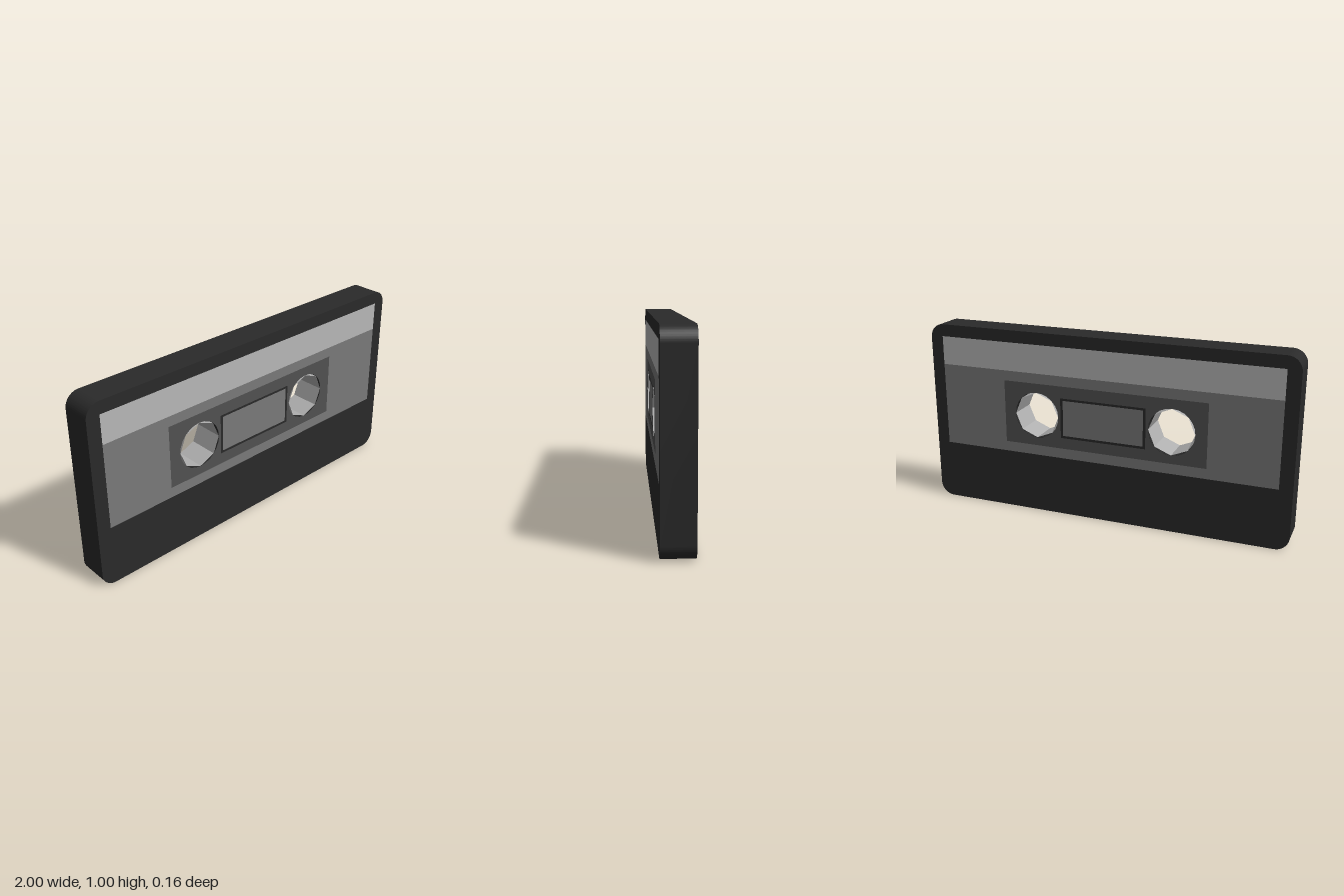
import * as THREE from 'three';
import { toCreasedNormals } from 'three/addons/utils/BufferGeometryUtils.js';

const REEL_X = 0.375, REEL_Y = 0.55, REEL_R = 0.125;
const BODY_Z = 0.0785, FACE_Z = 0.08;

const paint = (color, extra = {}) => {
  const material = new THREE.MeshStandardMaterial(extra);
  material.color.set(color);
  return material;
};

function part(name, geometry, material) {
  const mesh = new THREE.Mesh(geometry, material);
  mesh.name = name;
  return mesh;
}

// Rectangle from corner to corner, as a shape or as a hole
function rect(x0, y0, x1, y1, Type = THREE.Shape) {
  return new Type([[x0, y0], [x1, y0], [x1, y1], [x0, y1]].map(([x, y]) => new THREE.Vector2(x, y)));
}

function roundedRect(x0, y0, x1, y1, r) {
  const s = new THREE.Shape();
  s.absarc(x1 - r, y0 + r, r, -Math.PI / 2, 0);
  s.absarc(x1 - r, y1 - r, r, 0, Math.PI / 2);
  s.absarc(x0 + r, y1 - r, r, Math.PI / 2, Math.PI);
  s.absarc(x0 + r, y0 + r, r, Math.PI, Math.PI * 1.5);
  s.closePath();
  return s;
}

function addReelHoles(shape) {
  for (const side of [-1, 1]) {
    shape.holes.push(new THREE.Path().absarc(side * REEL_X, REEL_Y, REEL_R, 0, Math.PI * 2, true));
  }
  return shape;
}

// Flat printed areas of one face, fitted into each other
function createFace(name) {
  const face = new THREE.Group();
  face.name = name;
  const label = rect(-0.93, 0.325, 0.93, 0.78);
  label.holes.push(rect(-0.563, 0.38, 0.563, 0.725, THREE.Path));
  const panel = addReelHoles(rect(-0.563, 0.38, 0.563, 0.725));
  panel.holes.push(rect(-0.237, 0.44, 0.237, 0.66, THREE.Path));

  const areas = [
    ['labelStripe', rect(-0.93, 0.78, 0.93, 0.935), 0xb8b8b8],
    ['label', label, 0x7a7a7a],
    ['reelPanel', panel, 0x525252],
    ['window', rect(-0.223, 0.453, 0.223, 0.648), 0x7a7a7a],
  ];
  for (const [areaName, shape, color] of areas) {
    const mesh = part(areaName, new THREE.ShapeGeometry(shape, 12), paint(color));
    mesh.position.z = FACE_Z;
    face.add(mesh);
  }
  return face;
}

export function createModel() {
  const model = new THREE.Group();
  model.name = 'cassette';

  // Shell with rounded corners and two through holes
  const shell = new THREE.ExtrudeGeometry(addReelHoles(roundedRect(-1, 0, 1, 1, 0.075)), {
    depth: BODY_Z * 2, bevelEnabled: false, curveSegments: 12,
  });
  shell.translate(0, 0, -BODY_Z);
  model.add(part('shell', toCreasedNormals(shell, 0.7), paint(0x2a2a2a)));

  // Eight-sided linings of the reel holes
  for (const side of [-1, 1]) {
    const lining = new THREE.CylinderGeometry(REEL_R - 0.001, REEL_R - 0.001, FACE_Z * 2, 8, 1, true);
    lining.rotateX(Math.PI / 2);
    const mesh = part(side > 0 ? 'leftReelLining' : 'rightReelLining', lining,
      paint(0xb0b0b0, { flatShading: true, side: THREE.DoubleSide }));
    mesh.position.set(side * REEL_X, REEL_Y, 0);
    model.add(mesh);
  }

  // The same print on front and back
  const back = createFace('backFace');
  back.rotation.y = Math.PI;
  model.add(createFace('frontFace'), back);
  return model;
}
